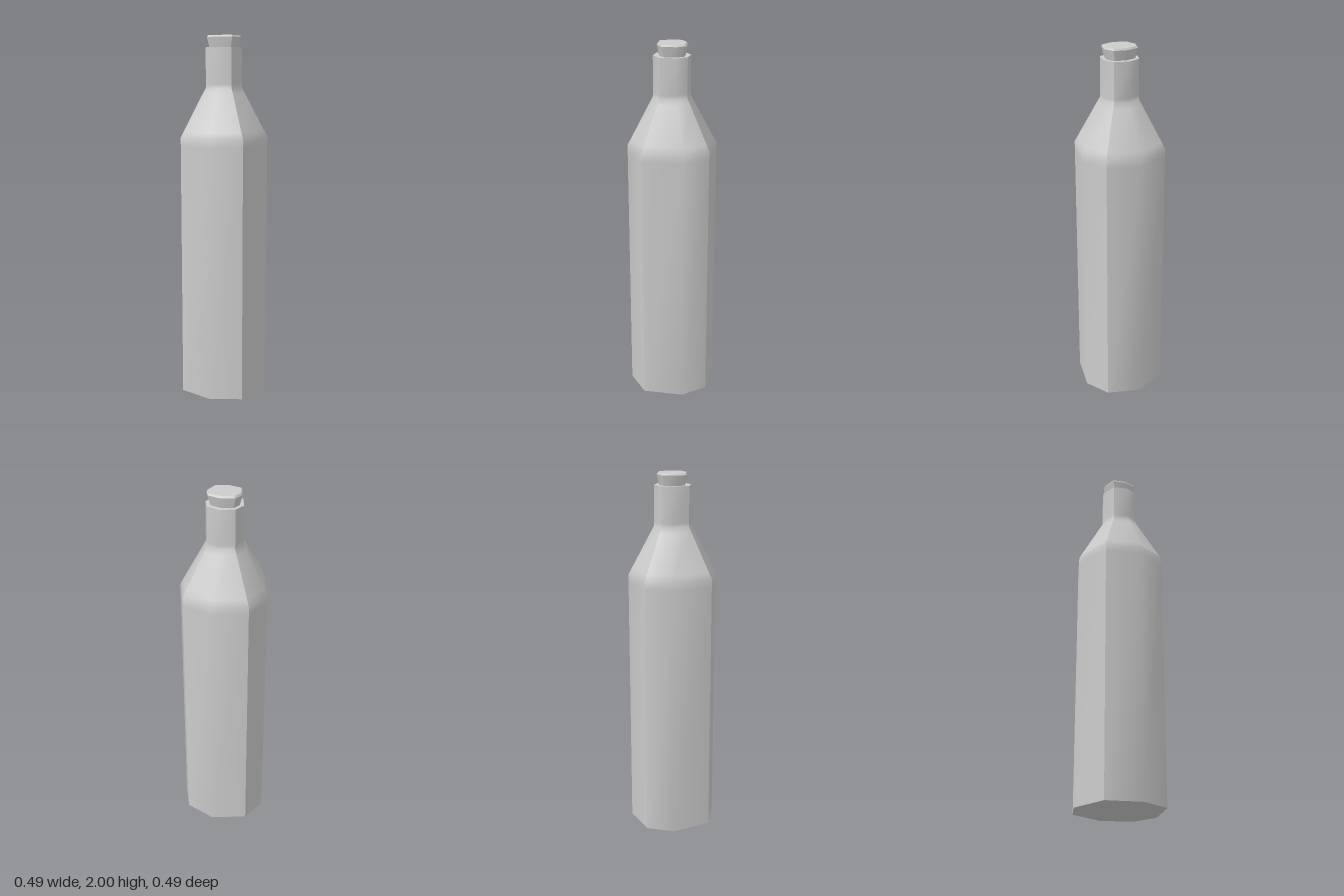
import * as THREE from 'three';
import { mergeGeometries } from 'three/addons/utils/BufferGeometryUtils.js';

// Octagonal cross-sections [x, z], from the front-left corner round past +x.
const bodyRing = [[-0.18, 0.18], [0.01, 0.242], [0.18, 0.18], [0.243, -0.035],
  [0.18, -0.18], [0.01, -0.244], [-0.18, -0.18], [-0.243, -0.035]];
const corkRing = [[-0.073, 0.062], [0.003, 0.08], [0.073, 0.062], [0.094, -0.015],
  [0.072, -0.068], [0.003, -0.087], [-0.072, -0.068], [-0.094, -0.015]];

function geometry(points, index) {
  const g = new THREE.BufferGeometry();
  g.setAttribute('position', new THREE.Float32BufferAttribute(points, 3));
  g.setIndex(index);
  g.computeVertexNormals();
  return g;
}

// Four two-facet panels: smooth across each middle, sharp at the corners.
// Levels are [y, scale of the ring].
function walls(ring, levels) {
  const panels = [];
  for (let p = 0; p < 4; p++) {
    const points = [], index = [];
    levels.forEach(([y, s], j) => {
      for (let k = 0; k < 3; k++) {
        const [x, z] = ring[(p * 2 + k) % 8];
        points.push(x * s, y, z * s);
        if (j > 0 && k < 2) {
          const a = (j - 1) * 3 + k, d = j * 3 + k;
          index.push(a, a + 1, d + 1, a, d + 1, d);
        }
      }
    });
    panels.push(geometry(points, index));
  }
  return mergeGeometries(panels);
}

// Flat end face, looking up or down.
function cap(ring, y, s, up) {
  const points = [0, y, 0], index = [];
  ring.forEach(([x, z], i) => {
    points.push(x * s, y, z * s);
    const a = i + 1, b = (i + 1) % 8 + 1;
    index.push(0, up ? a : b, up ? b : a);
  });
  return geometry(points, index);
}

export function createModel() {
  const model = new THREE.Group();
  const material = new THREE.MeshStandardMaterial({ color: 0xcccccc });
  const add = (name, parts) => {
    const mesh = new THREE.Mesh(mergeGeometries(parts), material);
    mesh.name = name;
    model.add(mesh);
  };

  // Body, shoulder and neck, with narrow support bands at the bends
  const neck = 0.416;
  add('bottle', [
    walls(bodyRing, [[0, 1], [1.41, 1], [1.455, 1], [1.49, 0.923],
      [1.69, 0.482], [1.72, neck], [1.74, neck], [1.935, neck]]),
    cap(bodyRing, 0, 1, false),
    cap(bodyRing, 1.935, neck, true),
  ]);

  // Flared stopper with a small bevel round its top
  add('stopper', [
    walls(corkRing, [[1.9, 0.75], [1.99, 1]]),
    walls(corkRing, [[1.99, 1], [2, 0.92]]),
    cap(corkRing, 1.9, 0.75, false),
    cap(corkRing, 2, 0.92, true),
  ]);
  return model;
}
